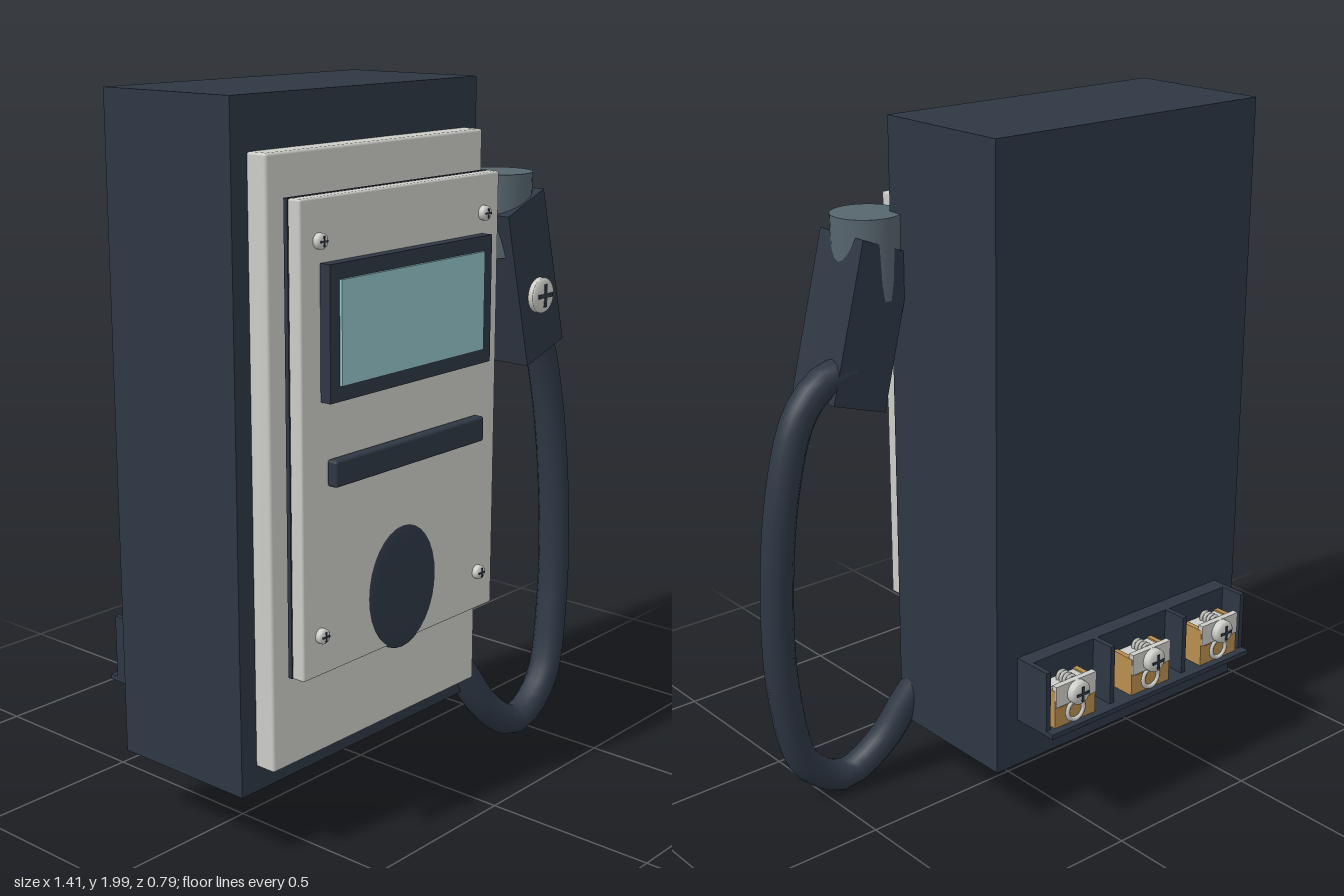
import * as THREE from 'three';
import { RoundedBoxGeometry } from 'three/addons/geometries/RoundedBoxGeometry.js';

const mat = (name, color) => {
  const m = new THREE.MeshStandardMaterial({ color });
  m.name = name;
  return m;
};

export function createModel() {
  const root = new THREE.Group();
  root.name = 'chargingStation';
  const navy = mat('navy', 0x2e3744);
  const pale = mat('paleGrey', 0xcbccc7);
  const aqua = mat('aquaScreen', 0x92c3c7);
  const steel = mat('steelGrey', 0x57656e);
  const brass = mat('brass', 0xb88d4e);
  const orange = mat('orange', 0xd8953f);

  const add = (parent, name, geometry, material) => {
    const mesh = new THREE.Mesh(geometry, material);
    mesh.name = name;
    parent.add(mesh);
    return mesh;
  };
  // Box given by its limits; r rounds its edges
  const box = (parent, name, material, [x0, x1], [y0, y1], [z0, z1], r = 0) => {
    const s = [x1 - x0, y1 - y0, z1 - z0];
    const g = r ? new RoundedBoxGeometry(...s, 2, r) : new THREE.BoxGeometry(...s);
    const m = add(parent, name, g, material);
    m.position.set((x0 + x1) / 2, (y0 + y1) / 2, (z0 + z1) / 2);
    return m;
  };
  // Disc with a domed face towards +z
  const dome = (parent, name, material, r, side, bulge) => {
    const pts = [[0, 0], [r, 0], [r, 0], [r, side], [r, side]];
    for (let i = 1; i <= 6; i++) {
      const a = (i / 6) * Math.PI / 2;
      pts.push([r * Math.cos(a), side + bulge * Math.sin(a)]);
    }
    const g = new THREE.LatheGeometry(pts.map(p => new THREE.Vector2(Math.max(p[0], 0), p[1])), 32);
    g.rotateX(Math.PI / 2);
    return add(parent, name, g, material);
  };
  // Screw with a cross slot, facing +z
  const screw = (name, r, h, shank) => {
    const g = new THREE.Group();
    g.name = name;
    dome(g, 'screwHead', pale, r, h * 0.6, h * 0.4);
    for (const [w, t] of [[r * 0.65, r * 0.12], [r * 0.12, r * 0.65]])
      box(g, 'crossSlot', navy, [-w, w], [-t, t], [h - 0.002, h + 0.001]);
    const s = add(g, 'screwShank', new THREE.CylinderGeometry(r * 0.35, r * 0.35, shank, 12), pale);
    s.rotation.x = Math.PI / 2;
    s.position.z = -shank / 2;
    return g;
  };

  // Cabinet and front panels
  box(root, 'cabinet', navy, [-0.71, 0.24], [0.2, 2], [-0.235, 0.21]);
  box(root, 'frontPanel', pale, [-0.655, 0.19], [0.27, 1.865], [0.205, 0.272], 0.008);
  box(root, 'plateBacking', navy, [-0.625, 0.16], [0.535, 1.76], [0.3, 0.312]);
  box(root, 'controlPlate', pale, [-0.625, 0.16], [0.535, 1.76], [0.312, 0.353], 0.006);
  for (const x of [-0.56, 0.09]) for (const y of [0.645, 1.655]) {
    const s = screw('plateScrew', 0.02, 0.02, 0.07);
    s.position.set(x, y, 0.353);
    root.add(s);
  }

  // Display, card slot and oval button
  box(root, 'displayBezel', navy, [-0.555, 0.09], [1.255, 1.6], [0.353, 0.385]);
  box(root, 'displayScreen', aqua, [-0.52, 0.05], [1.295, 1.56], [0.384, 0.393]);
  box(root, 'cardSlot', navy, [-0.535, 0.07], [1.035, 1.105], [0.353, 0.386], 0.008);
  const button = dome(root, 'ovalButton', navy, 0.14, 0.066, 0.012);
  button.scale.y = 1.24;
  button.position.set(-0.235, 0.69, 0.285);

  // Connector holder and tilted grip
  const socket = add(root, 'connectorSocket', new THREE.CylinderGeometry(0.099, 0.095, 0.23, 32), steel);
  socket.position.set(0.294, 1.625, 0.246);
  const gripShape = new THREE.Shape(
    [[0.21, 1.63], [0.315, 1.197], [0.485, 1.252], [0.372, 1.692]].map(p => new THREE.Vector2(...p)));
  const grip = add(root, 'connectorGrip',
    new THREE.ExtrudeGeometry(gripShape, { depth: 0.198, bevelEnabled: false }), navy);
  grip.position.z = 0.152;
  const gripScrew = screw('gripScrew', 0.05, 0.026, 0.05);
  gripScrew.position.set(0.36, 1.395, 0.349);
  root.add(gripScrew);

  // Hanging cable
  const path = new THREE.CatmullRomCurve3([
    [0.4, 1.33, 0.196], [0.49, 1.31, 0.196], [0.57, 1.23, 0.196], [0.63, 1.03, 0.2],
    [0.655, 0.7, 0.218], [0.635, 0.38, 0.235], [0.565, 0.14, 0.25], [0.43, 0.052, 0.248],
    [0.31, 0.13, 0.225], [0.235, 0.25, 0.198], [0.2, 0.31, 0.18],
  ].map(p => new THREE.Vector3(...p)));
  add(root, 'cable', new THREE.TubeGeometry(path, 40, 0.047, 12), navy);

  // Terminal strip on the back
  const strip = new THREE.Group();
  strip.name = 'terminalStrip';
  root.add(strip);
  box(strip, 'stripBack', navy, [-0.63, 0.165], [0.36, 0.54], [-0.285, -0.234]);
  box(strip, 'stripFloor', navy, [-0.63, 0.165], [0.345, 0.36], [-0.385, -0.234]);
  for (const x of [-0.622, -0.376, -0.086, 0.157])
    box(strip, 'divider', navy, [x - 0.008, x + 0.008], [0.355, 0.54], [-0.358, -0.28]);

  [[-0.52, orange], [-0.235, steel], [0.06, aqua]].forEach(([x, wireColour]) => {
    const t = new THREE.Group();
    t.name = 'terminal';
    t.position.x = x;
    strip.add(t);
    box(t, 'clampBody', pale, [-0.06, 0.06], [0.36, 0.47], [-0.35, -0.28]);
    for (const s of [-1, 1])
      box(t, 'clampSide', brass, [s * 0.068 - 0.008, s * 0.068 + 0.008], [0.36, 0.475], [-0.362, -0.28]);
    box(t, 'clampFront', brass, [-0.06, 0.06], [0.36, 0.42], [-0.362, -0.348]);
    const loop = add(t, 'wireLoop', new THREE.TorusGeometry(0.03, 0.007, 8, 20), pale);
    loop.position.set(0, 0.395, -0.362);
    box(t, 'pressurePlate', pale, [-0.075, 0.075], [0.425, 0.49], [-0.366, -0.348]);
    // Threaded shank behind the screw head
    for (let i = 0; i < 4; i++) {
      const ring = add(t, 'thread', new THREE.TorusGeometry(0.016, 0.005, 6, 14), pale);
      ring.position.set(0, 0.477, -0.342 + i * 0.013);
    }
    const s = screw('terminalScrew', 0.035, 0.028, 0.07);
    s.rotation.y = Math.PI;
    s.position.set(0, 0.455, -0.366);
    t.add(s);
    // Coloured wire stub under the floor
    box(t, 'wireStub', wireColour, [-0.06, 0.06], [0.323, 0.35], [-0.355, -0.318], 0.012);
  });

  return root;
}
